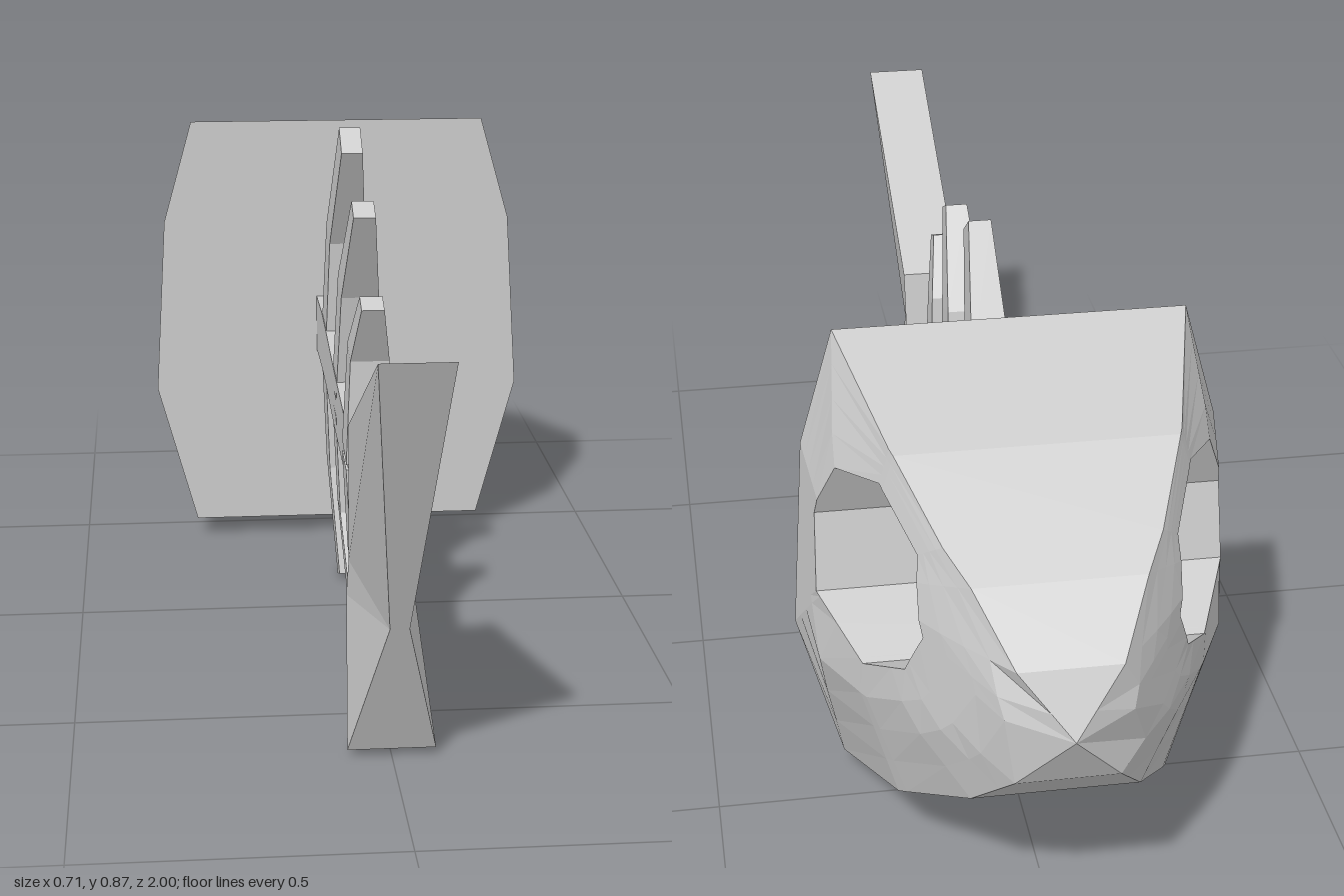
import * as THREE from 'three';

const material = new THREE.MeshStandardMaterial({ color: 0xcccccc, flatShading: true });

// Skin a list of closed loops ([x, y, z] corners); either cap the ends or join them up.
function loft(name, loops, joined = false) {
  const n = loops[0].length, tris = [];
  const quad = (a, b, c, d) => tris.push([a, b, c], [a, c, d]);
  const last = joined ? loops.length : loops.length - 1;
  for (let j = 0; j < last; j++) {
    const p = loops[j], q = loops[(j + 1) % loops.length];
    for (let i = 0; i < n; i++) {
      const k = (i + 1) % n;
      quad(p[i], p[k], q[k], q[i]);
    }
  }
  if (!joined) {
    const first = loops[0], end = loops[loops.length - 1];
    for (let i = 1; i < n - 1; i++) {
      tris.push([first[0], first[i + 1], first[i]], [end[0], end[i], end[i + 1]]);
    }
  }
  // Turn the faces outward if the enclosed volume comes out negative
  const v = (p) => new THREE.Vector3(...p);
  let volume = 0;
  for (const [a, b, c] of tris) volume += v(a).dot(v(b).cross(v(c)));
  if (volume < 0) tris.forEach((t) => t.reverse());

  const geometry = new THREE.BufferGeometry();
  geometry.setAttribute('position', new THREE.Float32BufferAttribute(tris.flat(2), 3));
  geometry.computeVertexNormals();
  const mesh = new THREE.Mesh(geometry, material);
  mesh.name = name;
  return mesh;
}

// Four-sided bar through sections [z1, y1, z2, y2, halfWidth1, halfWidth2]
function bar(name, sections) {
  return loft(name, sections.map(([z1, y1, z2, y2, w1, w2 = w1]) => [
    [w1, y1, z1], [w2, y2, z2], [-w2, y2, z2], [-w1, y1, z1],
  ]));
}

// Piecewise linear lookup in [key, value] pairs with rising keys
function lerpTable(table, t) {
  let i = 1;
  while (i < table.length - 1 && t > table[i][0]) i++;
  const [a, va] = table[i - 1], [b, vb] = table[i];
  return THREE.MathUtils.mapLinear(THREE.MathUtils.clamp(t, table[0][0], table[table.length - 1][0]), a, b, va, vb);
}

// Distance from a centre to a polygon of [z, y] points along an angle
function reach(polygon, [cz, cy], angle) {
  const dz = Math.cos(angle), dy = Math.sin(angle);
  let best = 0;
  polygon.forEach(([z1, y1], i) => {
    const [z2, y2] = polygon[(i + 1) % polygon.length];
    const ez = z2 - z1, ey = y2 - y1, det = ez * dy - ey * dz;
    if (Math.abs(det) < 1e-9) return;
    const s = ((y1 - cy) * dz - (z1 - cz) * dy) / det;
    const r = (z1 + ez * s - cz) * dz + (y1 + ey * s - cy) * dy;
    if (s > -1e-6 && s < 1 + 1e-6) best = Math.max(best, r);
  });
  return best;
}

// Wedge-shaped head with an eye hole running right through it
function makeHead() {
  const centre = [-0.66, 0.54], middle = 0.436;
  const outline = [
    [-0.42, 0.035], [-0.42, 0.305], [-0.42, 0.64], [-0.42, 0.835], [-0.67, 0.745], [-0.86, 0.625],
    [-0.95, 0.535], [-1, 0.44], [-0.95, 0.34], [-0.86, 0.25], [-0.67, 0.13],
  ];
  const eye = [
    [-0.513, 0.565], [-0.556, 0.667], [-0.658, 0.693], [-0.765, 0.63],
    [-0.807, 0.512], [-0.775, 0.437], [-0.674, 0.384], [-0.54, 0.437],
  ];
  const height = [[-1, 0.004], [-0.95, 0.098], [-0.86, 0.188], [-0.67, 0.308], [-0.42, 0.4]];
  const width = [[-1, 0], [-0.95, 0.1], [-0.86, 0.165], [-0.79, 0.215], [-0.67, 0.275], [-0.54, 0.335], [-0.42, 0.355]];
  const bulge = [[-1, 0.79], [-0.325, 1], [0.51, 0.945], [1, 0.79]];
  const halfWidth = (z, y) => lerpTable(width, z) * lerpTable(bulge, (y - middle) / lerpTable(height, z));

  const angles = [...outline, ...eye]
    .map(([z, y]) => Math.atan2(y - centre[1], z - centre[0]))
    .sort((a, b) => a - b);
  const steps = [0, 0.25, 0.5, 0.75, 1];
  const ring = (t, side) => angles.map((a) => {
    const r = THREE.MathUtils.lerp(reach(eye, centre, a), reach(outline, centre, a), t);
    const z = centre[0] + r * Math.cos(a), y = centre[1] + r * Math.sin(a);
    return [side * halfWidth(z, y), y, z];
  });
  // Out over one cheek, across to the other, and back through the eye
  const rings = [...steps.map((t) => ring(t, 1)), ...steps.reverse().map((t) => ring(t, -1))];
  return loft('head', rings, true);
}

export function createModel() {
  const fish = new THREE.Group();
  fish.name = 'fishSkeleton';
  fish.add(makeHead());

  // Backbone, sloping down to the tail
  fish.add(bar('spine', [
    [-0.43, 0.487, -0.43, 0.38, 0.04],
    [-0.28, 0.487, -0.28, 0.38, 0.04],
    [-0.18, 0.477, -0.18, 0.374, 0.04],
    [0.0, 0.455, 0.0, 0.353, 0.04],
    [0.2, 0.427, 0.2, 0.33, 0.038],
    [0.3, 0.395, 0.3, 0.315, 0.035],
    [0.48, 0.37, 0.48, 0.295, 0.028],
  ]));

  // Ribs: [z, y] of both edges at the root, the bend and the tip
  const ribs = {
    upperFrontRib: [[-0.18, 0.44, -0.283, 0.45], [-0.166, 0.645, -0.246, 0.667], [-0.064, 0.83, -0.118, 0.868]],
    lowerFrontRib: [[-0.18, 0.41, -0.283, 0.41], [-0.176, 0.21, -0.257, 0.21], [-0.126, 0.015, -0.171, 0]],
    upperMiddleRib: [[0.064, 0.41, -0.02, 0.42], [0.1, 0.605, 0.027, 0.63], [0.187, 0.763, 0.145, 0.784]],
    lowerMiddleRib: [[0.064, 0.38, -0.02, 0.39], [0.07, 0.203, 0.005, 0.21], [0.145, 0.035, 0.096, 0.02]],
    upperBackRib: [[0.288, 0.36, 0.203, 0.38], [0.288, 0.54, 0.23, 0.56], [0.342, 0.64, 0.305, 0.655]],
    lowerBackRib: [[0.285, 0.35, 0.203, 0.36], [0.285, 0.22, 0.23, 0.195], [0.305, 0.105, 0.262, 0.095]],
  };
  const thickness = [0.04, 0.033, 0.019];
  for (const [name, rows] of Object.entries(ribs)) {
    fish.add(bar(name, rows.map((row, i) => [...row, thickness[i]])));
  }

  // Tail fin, pinched at the middle of its trailing edge
  fish.add(bar('tailFin', [
    [0.49, 0.49, 1, 0.725, 0.053, 0.055],
    [0.455, 0.25, 0.782, 0.255, 0.05, 0.015],
    [0.445, 0.187, 0.67, 0.012, 0.053, 0.07],
  ]));
  return fish;
}
